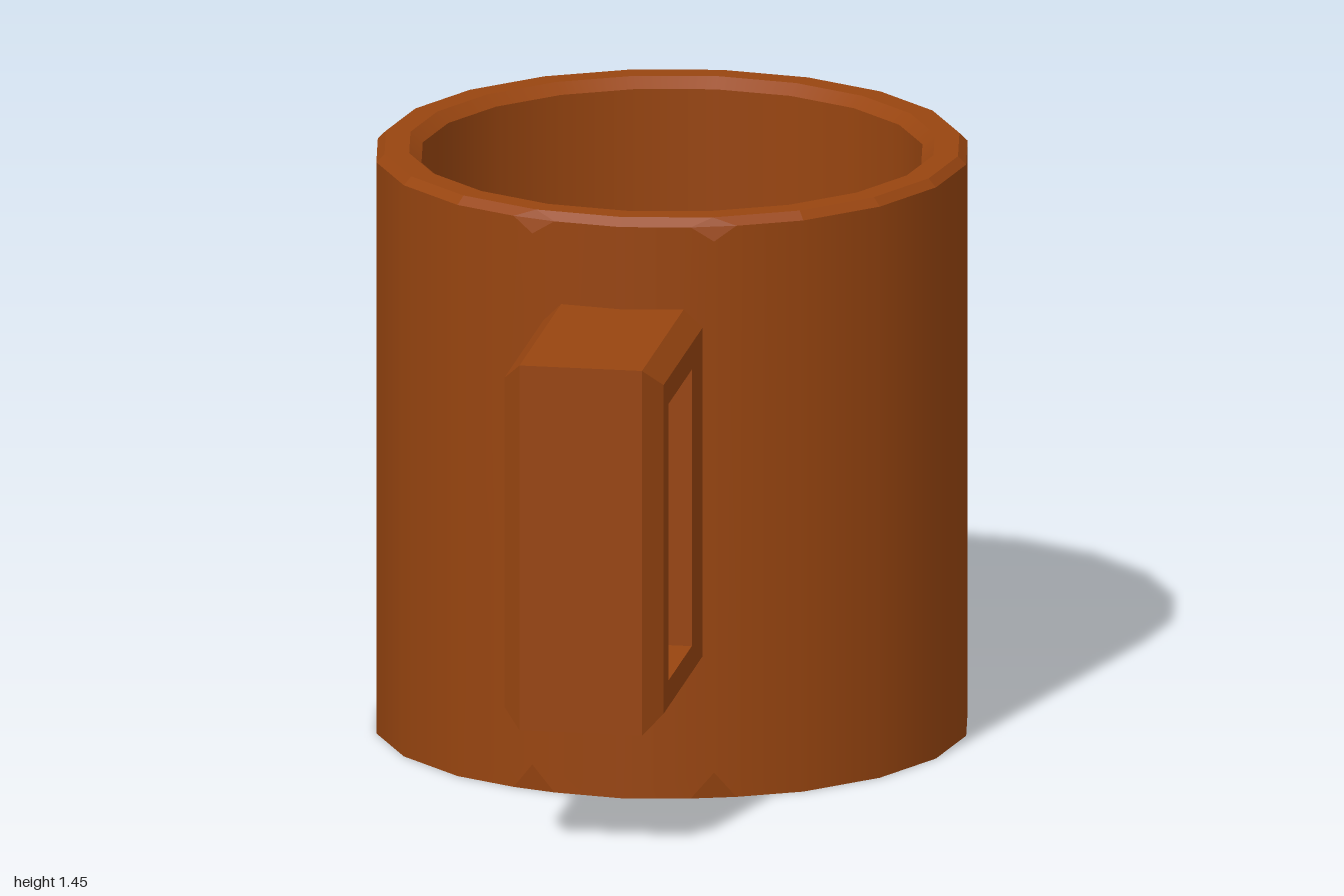
import * as THREE from 'three';

const SIDES = 20, R = 0.72, LIP = 1.425, TOP = 1.445, AXIS_Z = -0.28;
const brown = new THREE.MeshStandardMaterial({ color: 0x984510 });
const yellow = new THREE.MeshStandardMaterial({ color: 0xdad466 });

// Point on the cup's 20-sided outline
const P = (i, r, y) => {
  const a = (i / SIDES) * Math.PI * 2;
  return new THREE.Vector3(r * Math.sin(a), y, r * Math.cos(a));
};
// The two corners beside the handle are chipped at the lip and the base
const chipped = (i) => i % SIDES === 1 || i % SIDES === SIDES - 1;
// Corner of the outline, slid along the edge towards neighbour i + dir if chipped
const edge = (i, dir, y) =>
  chipped(i) ? P(i, R, y).lerp(P(i + dir, R, y), 0.25) : P(i, R, y);

// Turns convex polygons into triangles; radial = smooth normals about the axis
function polygons(list, radial) {
  const pts = [];
  for (const p of list)
    for (let k = 1; k < p.length - 1; k++) pts.push(p[0], p[k], p[k + 1]);
  const geo = new THREE.BufferGeometry().setFromPoints(pts);
  if (radial) {
    const n = pts.flatMap((p) => new THREE.Vector3(p.x, 0, p.z).normalize().toArray());
    geo.setAttribute('normal', new THREE.Float32BufferAttribute(n, 3));
  } else geo.computeVertexNormals();
  return geo;
}

function mesh(name, geo, mat) {
  const m = new THREE.Mesh(geo, mat);
  m.name = name;
  return m;
}

// Turned piece from [radius, height] points
const turned = (name, pts, mat) =>
  mesh(name, new THREE.LatheGeometry(pts.map(([x, y]) => new THREE.Vector2(x, y)), SIDES), mat);

function createCup() {
  const cup = new THREE.Group();
  cup.name = 'cup';
  cup.position.z = AXIS_Z;
  const wall = [], lip = [], chips = [], base = [];
  const low = 0.065, high = 1.39, center = new THREE.Vector3();

  for (let i = 0; i < SIDES; i++) {
    const j = i + 1, panel = [];
    if (chipped(i)) panel.push(P(i, R, low));
    panel.push(edge(i, 1, 0), edge(j, -1, 0));
    if (chipped(j)) panel.push(P(j, R, low), P(j, R, high));
    panel.push(edge(j, -1, LIP), edge(i, 1, LIP));
    if (chipped(i)) panel.push(P(i, R, high));
    wall.push(panel);
    lip.push([edge(i, 1, LIP), edge(j, -1, LIP), P(j, 0.7, TOP), P(i, 0.7, TOP)]);
    base.push([center, edge(j, -1, 0), edge(i, 1, 0)]);
    if (chipped(i)) {
      base.push([center, edge(i, 1, 0), edge(i, -1, 0)]);
      chips.push(
        [edge(i, -1, 0), edge(i, 1, 0), P(i, R, low)],
        [P(i, R, high), edge(i, 1, LIP), edge(i, -1, LIP)],
        [edge(i, -1, LIP), edge(i, 1, LIP), P(i, 0.7, TOP)]
      );
    }
  }

  cup.add(
    mesh('outerWall', polygons(wall, true), brown),
    mesh('lipBevel', polygons(lip), brown),
    mesh('cornerChips', polygons(chips), brown),
    mesh('base', polygons(base), brown),
    turned('rim', [[0.7, TOP], [0.64, TOP]], brown),
    turned('innerBevel', [[0.64, TOP], [0.61, 1.42]], brown),
    turned('innerWall', [[0.61, 1.42], [0.61, 0.12]], brown),
    turned('innerFloor', [[0.61, 0.12], [0, 0.12]], brown),
    // Drink with a flat top and a sloping edge
    turned('drinkTop', [[0.455, 1.04], [0, 1.04]], yellow),
    turned('drinkSlope', [[0.61, 0.88], [0.455, 1.04]], yellow)
  );
  return cup;
}

// Rectangular loop handle: a cross-section carried round four corners
function createHandle() {
  const back = 0.38, c = 0.045;
  const rect = (x, z0, z1, y0, y1) =>
    [[z0, y0], [z1, y0], [z1, y1], [z0, y1]].map(([z, y]) => new THREE.Vector3(x, y, z));
  const hole = (x) => rect(x, 0.56, 0.89, 0.42, 1.11);
  const outer = (x, inset) => rect(x, back, 1 - inset, 0.31 + inset, 1.22 - inset);
  const rings = [
    hole(-0.195), outer(-0.195, c), outer(-0.15, 0),
    outer(0.15, 0), outer(0.195, c), hole(0.195),
  ];
  const faces = [];
  rings.forEach((a, r) => {
    const b = rings[(r + 1) % rings.length];
    for (let k = 0; k < 4; k++) {
      const n = (k + 1) % 4;
      faces.push([a[k], b[k], b[n], a[n]]);
    }
  });
  return mesh('handle', polygons(faces), brown);
}

export function createModel() {
  const model = new THREE.Group();
  model.name = 'mug';
  model.add(createCup(), createHandle());
  return model;
}
